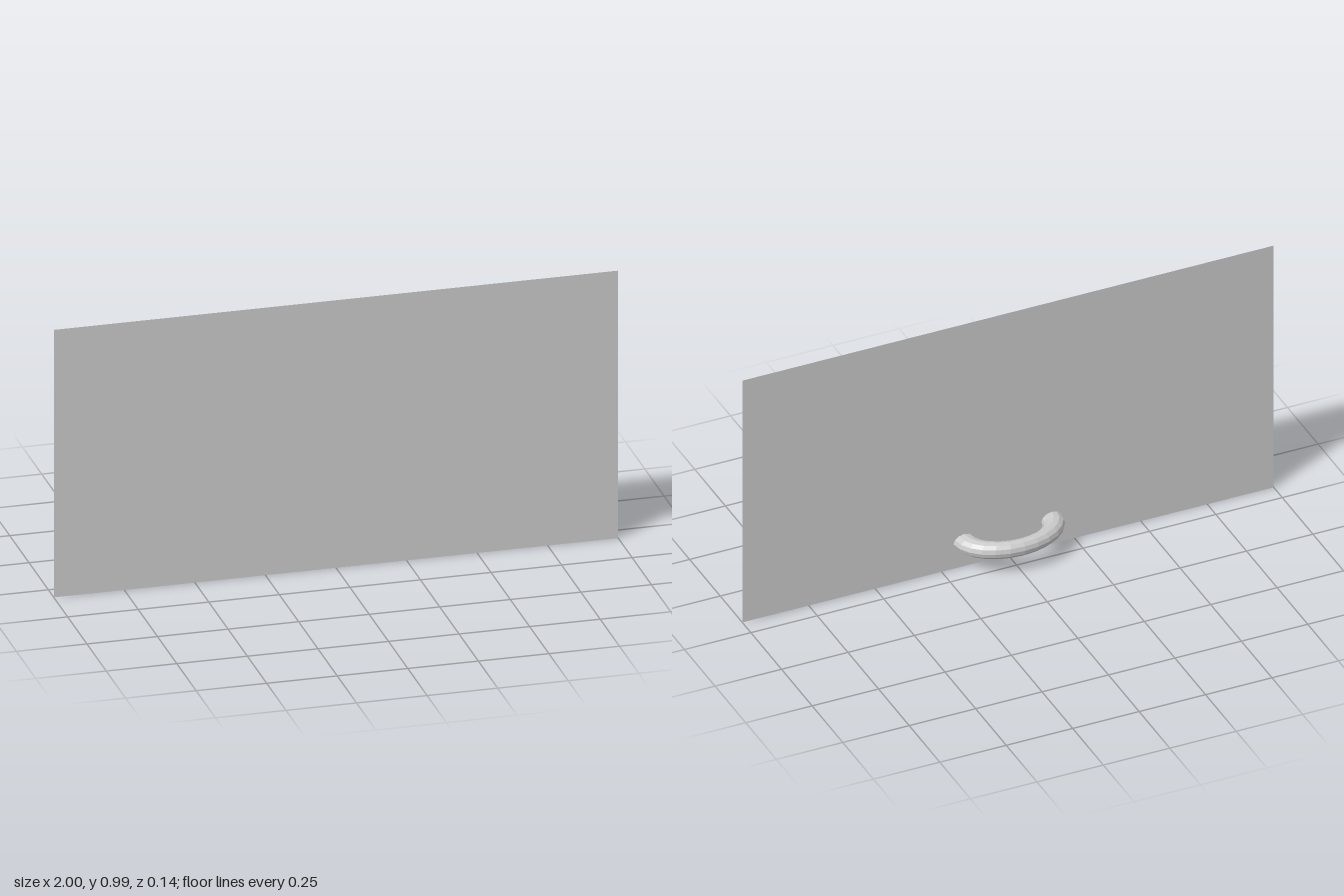
import * as THREE from 'three';

const HEIGHT = 0.99; // panel height
const FACE_Z = 0.07; // plane of the drawer front

export function createModel() {
  const model = new THREE.Group();
  model.name = 'drawerFront';

  // Thin flat panel
  const panel = new THREE.Mesh(
    new THREE.PlaneGeometry(2, HEIGHT),
    new THREE.MeshStandardMaterial({ color: 0xcccccc, side: THREE.DoubleSide })
  );
  panel.name = 'panel';
  panel.position.set(0, HEIGHT / 2, FACE_Z);
  model.add(panel);

  // Bow handle: half ring flattened in height and depth, arching towards -z
  const bow = new THREE.TorusGeometry(0.165, 0.04, 12, 12, Math.PI);
  bow.rotateX(-Math.PI / 2);
  bow.scale(1, 0.77, 0.683);
  const handle = new THREE.Mesh(
    bow,
    new THREE.MeshStandardMaterial({ color: 0xcccccc, flatShading: true, side: THREE.DoubleSide })
  );
  handle.name = 'handle';
  handle.position.set(0, 0.1, FACE_Z);
  model.add(handle);

  return model;
}
